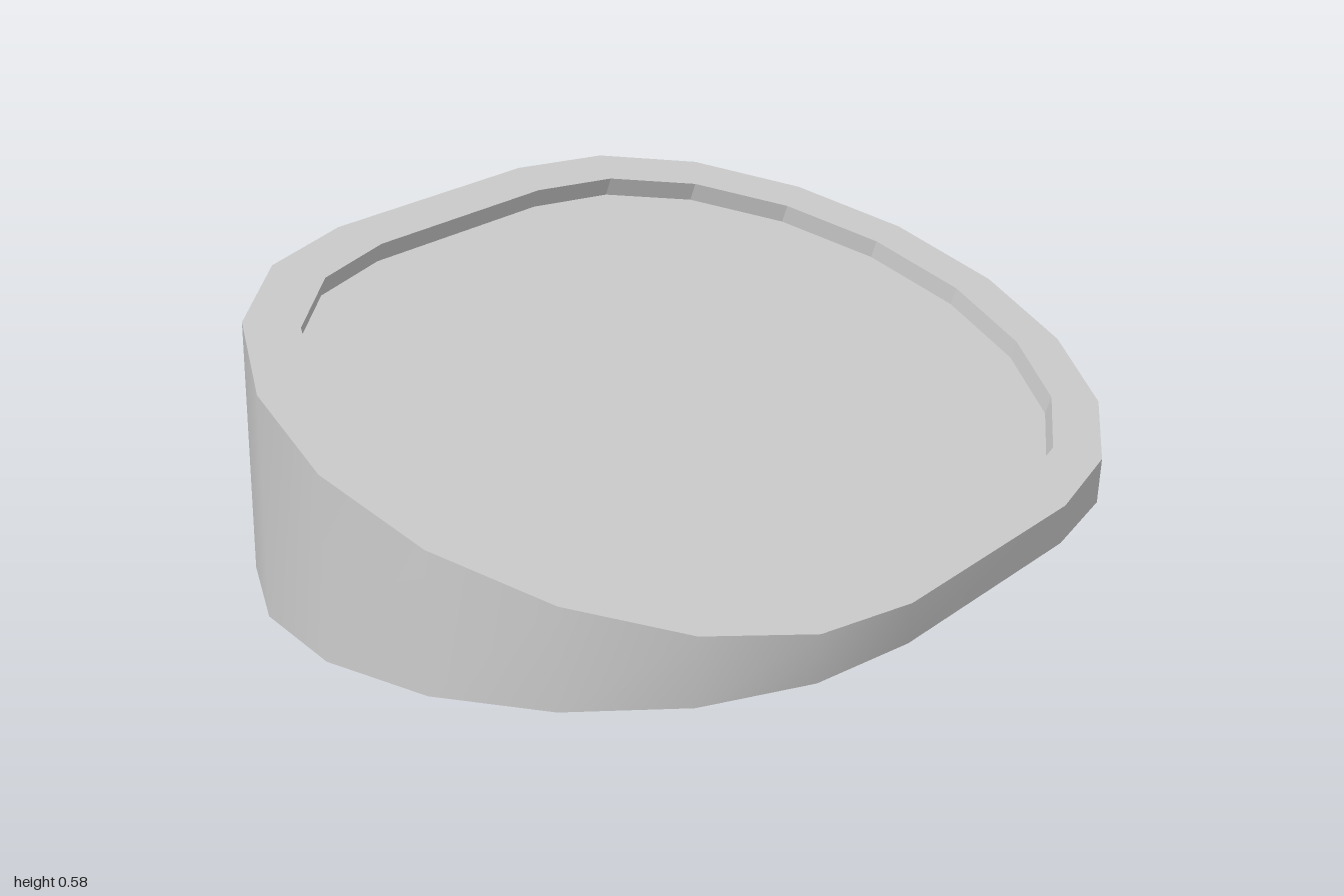
import * as THREE from 'three';
import { toCreasedNormals } from 'three/addons/utils/BufferGeometryUtils.js';

// One quarter of the 20-sided oval outline, as [x, z]
const QUARTER = [[0.715, 0.3], [0.67, 0.545], [0.548, 0.757], [0.357, 0.915], [0.125, 1]];
const MIRRORED = [...QUARTER].reverse();
const OUTLINE = [
  ...QUARTER,
  ...MIRRORED.map(([x, z]) => [-x, z]),
  ...QUARTER.map(([x, z]) => [-x, -z]),
  ...MIRRORED.map(([x, z]) => [x, -z]),
];

const SLOPE = -0.344, MID = 0.331, INNER = 0.877, DEPTH = 0.043;
const TILT = Math.atan(SLOPE);

// Rings of points: base, sloping top, rim opening, and recess floor
const topY = (x) => MID + SLOPE * x;
const base = OUTLINE.map(([x, z]) => [x * 0.995 - 0.0035, 0, z]);
const top = OUTLINE.map(([x, z]) => [x, topY(x), z]);
const opening = OUTLINE.map(([x, z]) => [x * INNER, topY(x * INNER), z * INNER]);
const floor = opening.map(([x, y, z]) => [x + Math.sin(TILT) * DEPTH, y - Math.cos(TILT) * DEPTH, z]);

// A ring shrunk to its centre, for closing a cap
function centre(ring) {
  const c = [0, 1, 2].map((k) => ring.reduce((sum, p) => sum + p[k], 0) / ring.length);
  return ring.map(() => c);
}

// Surface joining successive rings
function skin(name, rings, crease) {
  const pos = [];
  for (let r = 0; r < rings.length - 1; r++) {
    const a = rings[r], b = rings[r + 1];
    for (let i = 0; i < a.length; i++) {
      const j = (i + 1) % a.length;
      if (a[i] !== a[j]) pos.push(...a[i], ...b[i], ...a[j]);
      if (b[i] !== b[j]) pos.push(...a[j], ...b[i], ...b[j]);
    }
  }
  const geometry = new THREE.BufferGeometry();
  geometry.setAttribute('position', new THREE.Float32BufferAttribute(pos, 3));
  geometry.computeVertexNormals();
  const mesh = new THREE.Mesh(
    toCreasedNormals(geometry, crease),
    new THREE.MeshStandardMaterial({ color: 0xcccccc }),
  );
  mesh.name = name;
  return mesh;
}

export function createModel() {
  const group = new THREE.Group();
  group.name = 'slopedOvalBase';
  // Underside, smooth side wall and raised rim
  group.add(skin('bodyAndRim', [centre(base), base, top, opening], 0.5));
  // Faceted recess wall and its flat floor
  group.add(skin('recess', [opening, floor, centre(floor)], 0.1));
  return group;
}
